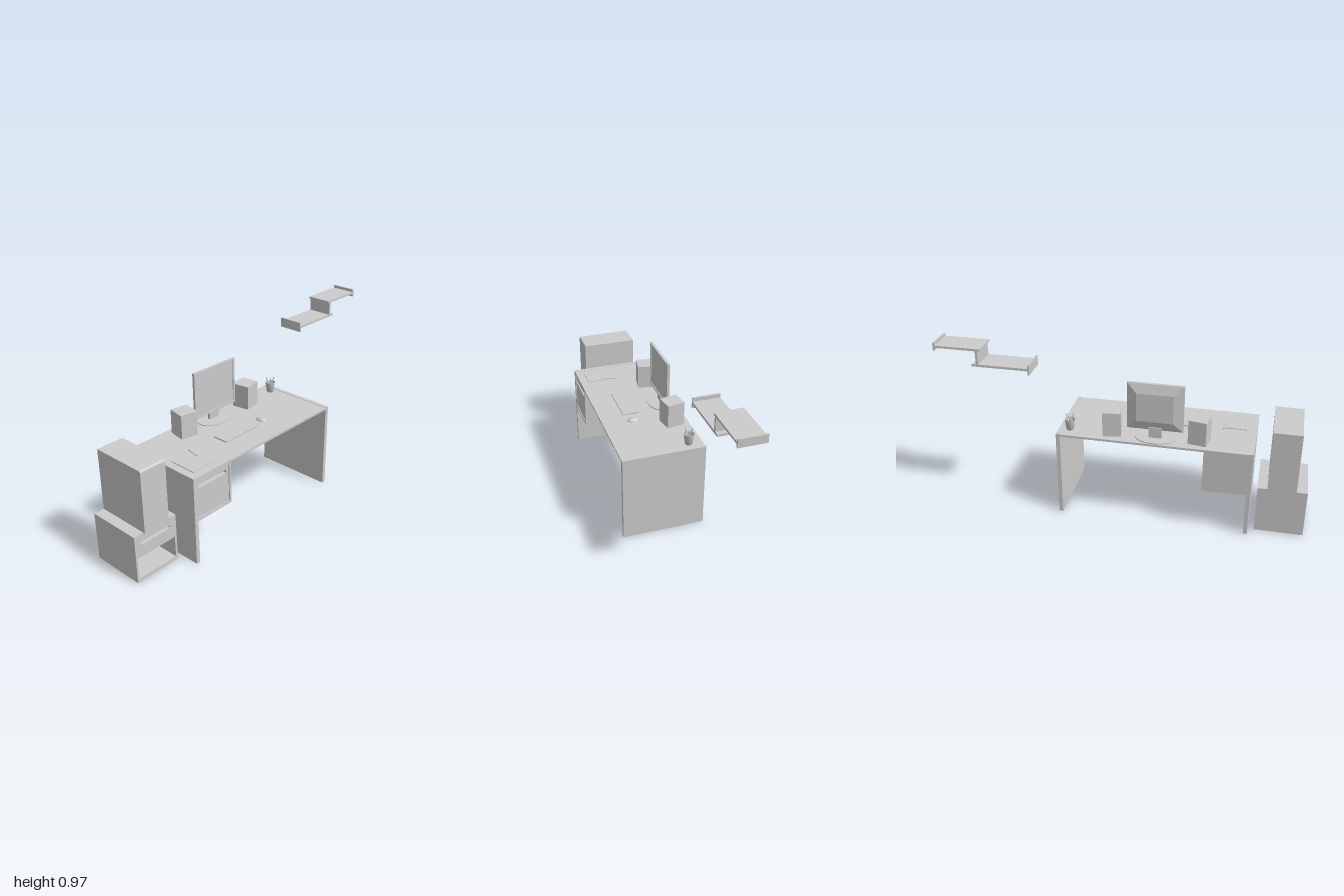
import * as THREE from 'three';

const grey = new THREE.MeshStandardMaterial({ color: 0xcccccc, side: THREE.DoubleSide });

export function createModel() {
  const root = new THREE.Group();

  function add(name, geometry, x = 0, y = 0, z = 0, parent = root) {
    const mesh = new THREE.Mesh(geometry, grey);
    mesh.name = name;
    mesh.position.set(x, y, z);
    parent.add(mesh);
    return mesh;
  }
  // Box given by its limits on each axis
  function box(name, x0, x1, y0, y1, z0, z1, parent = root) {
    return add(name, new THREE.BoxGeometry(x1 - x0, y1 - y0, z1 - z0),
      (x0 + x1) / 2, (y0 + y1) / 2, (z0 + z1) / 2, parent);
  }
  function rect(Type, x0, x1, y0, y1) {
    return new Type([[x0, y0], [x1, y0], [x1, y1], [x0, y1]].map((p) => new THREE.Vector2(...p)));
  }
  // Front-facing panel with rectangular holes, from z0 to z1
  function panel(name, outer, holes, z0, z1, parent = root) {
    const shape = rect(THREE.Shape, ...outer);
    for (const h of holes) shape.holes.push(rect(THREE.Path, ...h));
    return add(name, new THREE.ExtrudeGeometry(shape, { depth: z1 - z0, bevelEnabled: false }), 0, 0, z0, parent);
  }
  function group(name) {
    const g = new THREE.Group();
    g.name = name;
    root.add(g);
    return g;
  }

  // Desk
  const desk = group('desk');
  box('rightLeg', -0.705, -0.683, 0, 0.497, -0.23, 0.23, desk);
  box('leftLeg', 0.328, 0.35, 0, 0.497, -0.23, 0.23, desk);
  box('deskTop', -0.683, 0.328, 0.483, 0.495, -0.23, 0.23, desk);

  // Drawer unit under the desk top, with a recessed grip slot
  const drawer = group('drawerUnit');
  panel('drawerCase', [-0.683, -0.447, 0.247, 0.483], [[-0.681, -0.46, 0.262, 0.481]], -0.225, 0.23, drawer);
  box('drawerBack', -0.683, -0.447, 0.247, 0.483, -0.23, -0.225, drawer);
  panel('drawerFront', [-0.679, -0.462, 0.264, 0.479], [[-0.673, -0.478, 0.43, 0.45]], 0.205, 0.226, drawer);
  box('drawerBody', -0.679, -0.462, 0.264, 0.479, -0.22, 0.205, drawer);

  // Low cabinet with an open compartment and a slot with a tray
  const cabinet = group('lowCabinet');
  panel('cabinetBody', [-1, -0.738, 0, 0.268],
    [[-0.988, -0.75, 0.02, 0.14], [-0.962, -0.782, 0.21, 0.226]], -0.165, 0.125, cabinet);
  box('cabinetBack', -1, -0.738, 0, 0.268, -0.178, -0.165, cabinet);
  box('slotTray', -0.962, -0.782, 0.21, 0.214, -0.16, 0.132, cabinet);

  // Computer tower: side profile with a rounded upper front edge
  const tower = group('computerTower');
  const side = new THREE.Shape();
  side.moveTo(-0.178, 0.268);
  side.lineTo(0.135, 0.268);
  side.lineTo(0.135, 0.595);
  side.quadraticCurveTo(0.135, 0.608, 0.122, 0.608);
  side.lineTo(-0.178, 0.608);
  side.closePath();
  add('towerCase', new THREE.ExtrudeGeometry(side, { depth: 0.152, bevelEnabled: false }), -0.79, 0, 0, tower)
    .rotation.y = -Math.PI / 2;
  tower.children[0].position.x = -0.79;
  add('powerButton', new THREE.CylinderGeometry(0.004, 0.004, 0.003, 12), -0.81, 0.36, 0.135, tower)
    .rotation.x = Math.PI / 2;

  // Speakers, turned inwards
  for (const s of [-1, 1]) {
    const speaker = box(s < 0 ? 'rightSpeaker' : 'leftSpeaker', -0.049, 0.049, 0.495, 0.632, -0.05, 0.05);
    speaker.position.set(-0.177 + s * 0.236, speaker.position.y, -0.14);
    speaker.rotation.y = s * 0.17;
  }

  // Monitor: bezel, recessed screen, tapered back, neck and oval foot
  const monitor = group('monitor');
  panel('bezel', [-0.328, -0.025, 0.543, 0.808], [[-0.316, -0.037, 0.555, 0.796]], -0.155, -0.14, monitor);
  box('screen', -0.317, -0.036, 0.554, 0.797, -0.155, -0.145, monitor);
  const back = new THREE.BoxGeometry(0.303, 0.265, 0.018).toNonIndexed();
  const p = back.attributes.position;
  for (let i = 0; i < p.count; i++) {
    if (p.getZ(i) < 0) p.setXY(i, p.getX(i) * 0.65, p.getY(i) * 0.6);
  }
  back.computeVertexNormals();
  add('monitorBack', back, -0.1765, 0.6755, -0.164, monitor);
  box('neck', -0.214, -0.145, 0.495, 0.56, -0.166, -0.15, monitor);
  add('foot', new THREE.CylinderGeometry(1, 1, 0.005, 40), -0.18, 0.4975, -0.15, monitor)
    .scale.set(0.11, 1, 0.075);

  // Keyboard and mouse
  box('keyboard', -0.34, -0.09, 0.495, 0.502, 0.005, 0.095);
  add('mouse', new THREE.SphereGeometry(1, 24, 8, 0, Math.PI * 2, 0, Math.PI / 2), -0.025, 0.495, 0.057)
    .scale.set(0.021, 0.014, 0.033);

  // Notebook with a pen beside it
  box('notebook', -0.66, -0.53, 0.495, 0.499, 0.028, 0.184);
  const pen = add('pen', new THREE.CylinderGeometry(0.004, 0.004, 0.085, 8), -0.533, 0.5, 0.05);
  pen.rotation.set(Math.PI / 2, 0, 0.2);

  // Pencil cup with pencils leaning out
  const cup = group('pencilCup');
  cup.position.set(0.29, 0.495, -0.153);
  const profile = [[0, 0], [0.02, 0], [0.028, 0.06], [0.0255, 0.06], [0.018, 0.004], [0, 0.004]];
  add('cup', new THREE.LatheGeometry(profile.map((q) => new THREE.Vector2(...q)), 24), 0, 0, 0, cup);
  for (const [a, h] of [[0.4, 0.086], [2.4, 0.09], [4.4, 0.084]]) {
    const foot = new THREE.Vector3(0.004 * Math.cos(a), 0.005, 0.004 * Math.sin(a));
    const tip = new THREE.Vector3(0.023 * Math.cos(a), h, 0.023 * Math.sin(a));
    add('pencil', new THREE.TubeGeometry(new THREE.LineCurve3(foot, tip), 1, 0.003, 6), 0, 0, 0, cup);
    const end = add('pencilTip', new THREE.SphereGeometry(0.003, 6, 4), 0, 0, 0, cup);
    end.position.copy(tip);
  }

  // Stepped wall shelf
  const shelf = group('wallShelf');
  for (const [name, x0, x1, y0, y1] of [
    ['lowerBoard', 0.482, 0.79, 0.852, 0.865],
    ['lowerEnd', 0.475, 0.484, 0.83, 0.885],
    ['riser', 0.753, 0.766, 0.865, 0.94],
    ['upperBoard', 0.74, 0.992, 0.939, 0.951],
    ['upperEnd', 0.99, 1, 0.923, 0.967],
  ]) box(name, x0, x1, y0, y1, -0.231, -0.087, shelf);

  return root;
}
